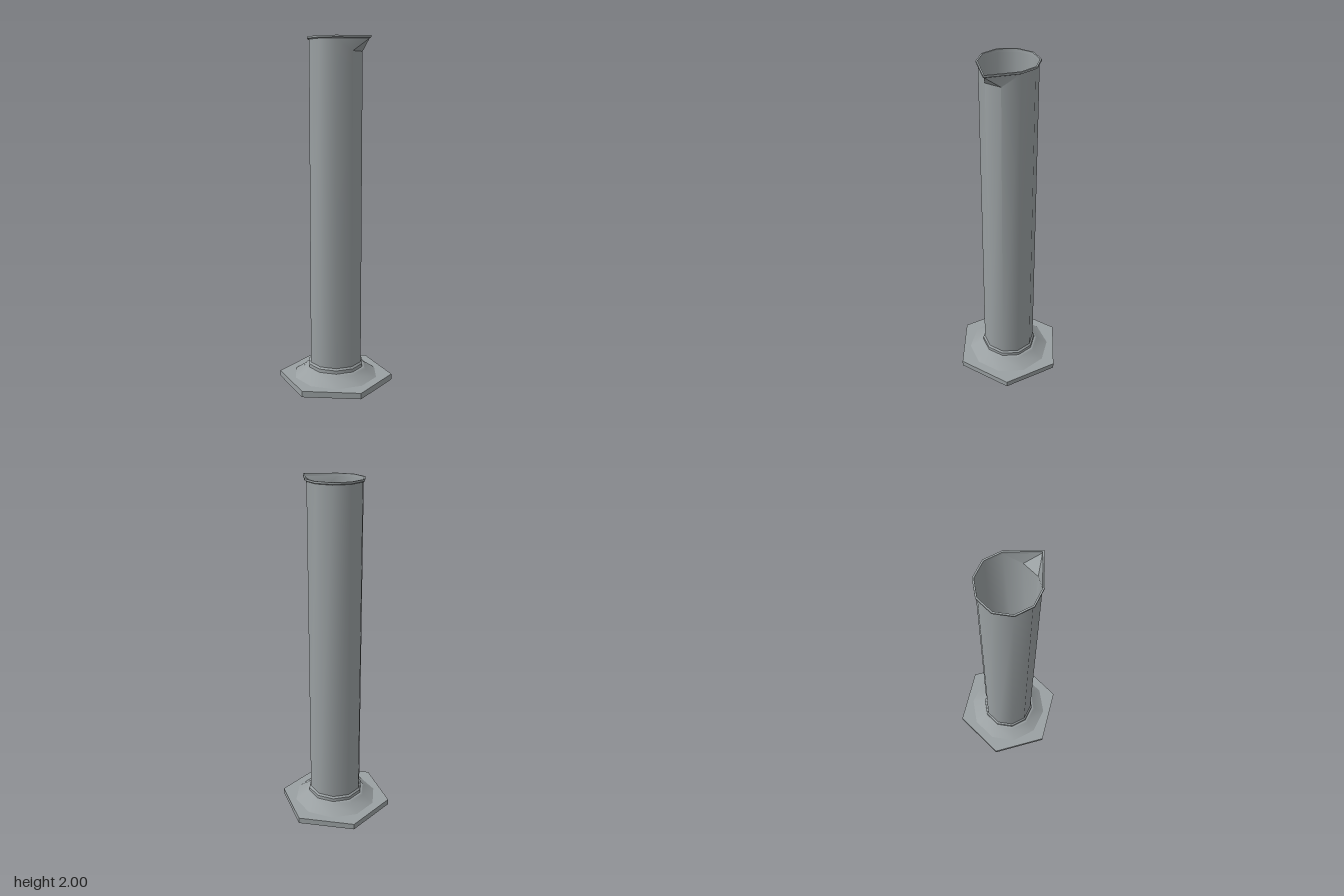
import * as THREE from 'three';
import { toCreasedNormals } from 'three/addons/utils/BufferGeometryUtils.js';

const SIDES = 10, CREASE = 0.7;
const LIP_Y = 1.985, SPOUT_Y = 1.92;

// Corner of the ten-sided section, starting at +z and turning toward +x
function corner(k, r, y) {
  const a = (k * Math.PI * 2) / SIDES;
  return [r * Math.sin(a), y, r * Math.cos(a)];
}

function fromTriangles(triangles, crease) {
  const g = new THREE.BufferGeometry();
  g.setAttribute('position', new THREE.Float32BufferAttribute(triangles.flat(2), 3));
  return toCreasedNormals(g, crease);
}

// Tube wall with the +x panel cut lower, where the pouring spout opens out
function wallGeometry() {
  const r = 0.155, tip = [0.222, LIP_Y, 0], tris = [];
  const top = (k) => corner(k, r, k === 2 || k === 3 ? SPOUT_Y : LIP_Y);
  for (let k = 0; k < SIDES; k++) {
    const n = (k + 1) % SIDES;
    const a = corner(k, r, 0.035), b = corner(n, r, 0.035);
    tris.push([a, b, top(n)], [a, top(n), top(k)]);
  }
  for (let k = 1; k < 4; k++) tris.push([top(k), top(k + 1), tip]);
  return fromTriangles(tris, CREASE);
}

// Thin flared lip following the mouth and the spout tip
function lipGeometry() {
  const loop = (r, tipX, y) => {
    const points = [];
    for (let k = 0; k < SIDES; k++) {
      if (k === 2) points.push([tipX, y, 0]);
      else if (k !== 3) points.push(corner(k, r, y));
    }
    return points;
  };
  const rings = [
    loop(0.155, 0.222, LIP_Y), loop(0.165, 0.233, 1.99),
    loop(0.165, 0.233, 2), loop(0.156, 0.222, 2), loop(0.155, 0.222, LIP_Y),
  ];
  const tris = [];
  for (let j = 0; j < rings.length - 1; j++) {
    const lo = rings[j], hi = rings[j + 1];
    for (let i = 0; i < lo.length; i++) {
      const n = (i + 1) % lo.length;
      tris.push([lo[i], lo[n], hi[n]], [lo[i], hi[n], hi[i]]);
    }
  }
  return fromTriangles(tris, CREASE);
}

export function createModel() {
  const group = new THREE.Group();
  group.name = 'measuringCylinder';
  const grey = new THREE.MeshStandardMaterial({ color: 0x9aa0a2, side: THREE.DoubleSide });
  grey.name = 'grey';

  const add = (name, geometry) => {
    const mesh = new THREE.Mesh(geometry, grey);
    mesh.name = name;
    group.add(mesh);
    return mesh;
  };

  // Hexagonal foot, whose top also closes the bottom of the tube
  const foot = add('foot', toCreasedNormals(new THREE.CylinderGeometry(0.335, 0.335, 0.035, 6), 0.5));
  foot.position.y = 0.0175;

  // Sloped shoulder and stepped collar around the tube
  const profile = [
    [0.25, 0.035], [0.186, 0.078], [0.177, 0.088], [0.165, 0.09], [0.165, 0.11], [0.155, 0.12],
  ].map(([r, y]) => new THREE.Vector2(r, y));
  add('collar', toCreasedNormals(new THREE.LatheGeometry(profile, SIDES), CREASE));

  add('tubeWall', wallGeometry());
  add('pouringLip', lipGeometry());
  return group;
}
